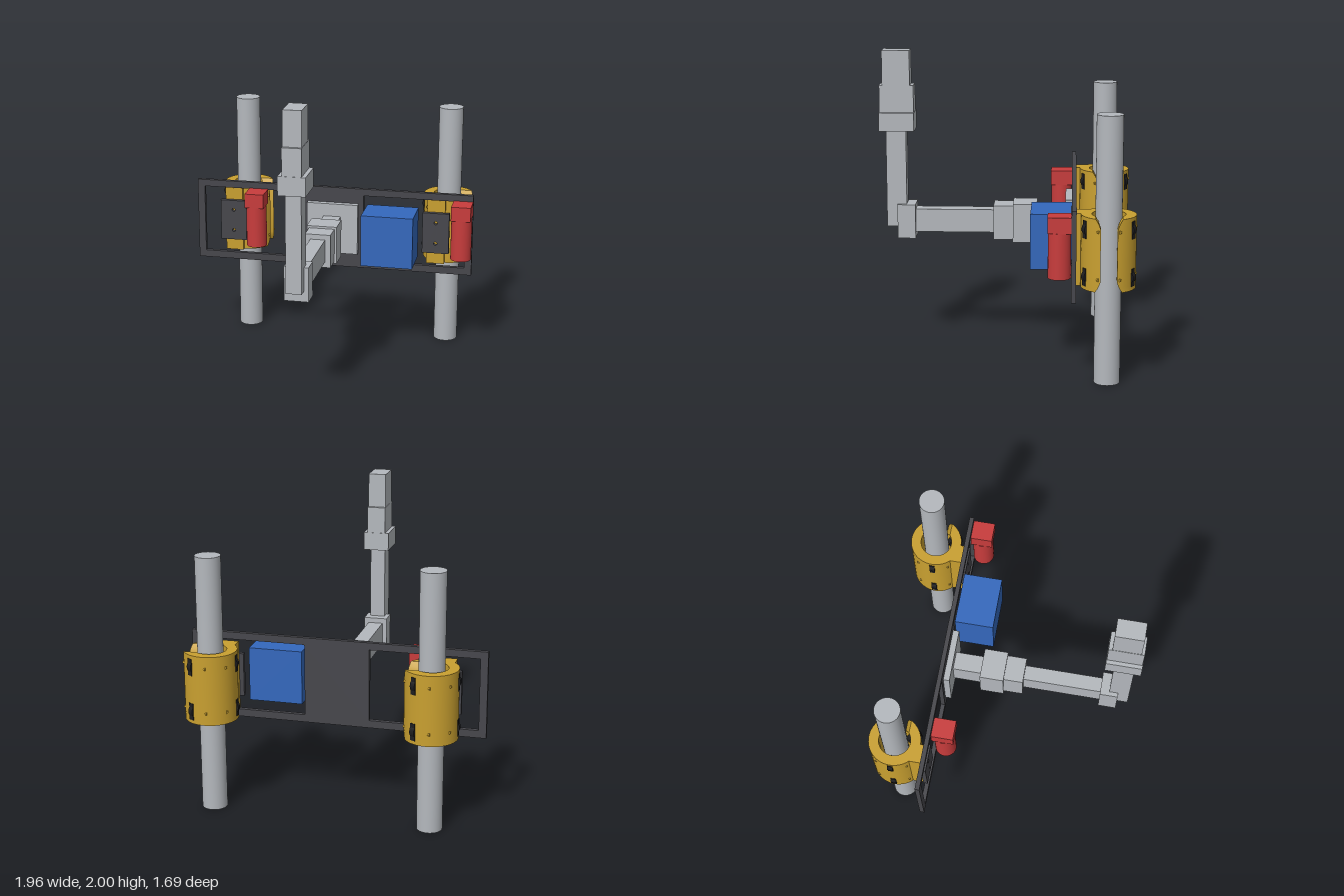
import * as THREE from 'three';
import { toCreasedNormals } from 'three/addons/utils/BufferGeometryUtils.js';

const material = (name, color) => {
  const m = new THREE.MeshStandardMaterial({ color });
  m.name = name;
  return m;
};

// Box given by its limits on each axis
function box(name, mat, [x0, x1], [y0, y1], [z0, z1]) {
  const mesh = new THREE.Mesh(new THREE.BoxGeometry(x1 - x0, y1 - y0, z1 - z0), mat);
  mesh.position.set((x0 + x1) / 2, (y0 + y1) / 2, (z0 + z1) / 2);
  mesh.name = name;
  return mesh;
}

function cylinder(name, mat, radius, height, x, y, z) {
  const mesh = new THREE.Mesh(new THREE.CylinderGeometry(radius, radius, height, 40), mat);
  mesh.position.set(x, y, z);
  mesh.name = name;
  return mesh;
}

const rectangle = (Type, x0, x1, y0, y1) => new Type([[x0, y0], [x1, y0], [x1, y1], [x0, y1]]
  .map(([x, y]) => new THREE.Vector2(x, y)));

const PLATE_BACK = -0.466, PLATE_FRONT = -0.436;
function plate(name, mat, shape) {
  const depth = PLATE_FRONT - PLATE_BACK;
  const mesh = new THREE.Mesh(
    new THREE.ExtrudeGeometry(shape, { depth, bevelEnabled: false, curveSegments: 16 }), mat);
  mesh.position.z = PLATE_BACK;
  mesh.name = name;
  return mesh;
}

// C-shaped sleeve, open toward +x, whose slot flares at both ends
function sleeveGeometry(outer, inner) {
  const levels = [[0.625, 0.083], [0.655, 0.064], [0.69, 0.051],
    [1.02, 0.051], [1.055, 0.064], [1.085, 0.083]];
  const n = 48, positions = [];
  const sections = levels.map(([y, gap]) => {
    const arc = (r) => Array.from({ length: n + 1 }, (_, i) => {
      const start = Math.asin(gap / r);
      const a = start + (2 * Math.PI - 2 * start) * i / n;
      return [r * Math.cos(a), y, r * Math.sin(a)];
    });
    return { out: arc(outer), inn: arc(inner) };
  });
  const quad = (a, b, c, d) => positions.push(...a, ...b, ...c, ...a, ...c, ...d);
  for (let k = 0; k < sections.length - 1; k++) {
    const low = [...sections[k].out, ...[...sections[k].inn].reverse()];
    const high = [...sections[k + 1].out, ...[...sections[k + 1].inn].reverse()];
    low.forEach((p, i) => {
      const j = (i + 1) % low.length;
      quad(p, high[i], high[j], low[j]);
    });
  }
  const bottom = sections[0], top = sections[sections.length - 1];
  for (let i = 0; i < n; i++) {
    quad(top.out[i], top.inn[i], top.inn[i + 1], top.out[i + 1]);
    quad(bottom.out[i], bottom.out[i + 1], bottom.inn[i + 1], bottom.inn[i]);
  }
  const geometry = new THREE.BufferGeometry();
  geometry.setAttribute('position', new THREE.Float32BufferAttribute(positions, 3));
  return toCreasedNormals(geometry, 0.4);
}

export function createModel() {
  const model = new THREE.Group();
  model.name = 'poleClimbingArm';
  const grey = material('light grey metal', 0xb4b8bd);
  const dark = material('dark grey frame', 0x47474c);
  const gold = material('gold clamp', 0xc9a030);
  const black = material('black rubber', 0x1e1e20);
  const red = material('red motor', 0xc83c3c);
  const blue = material('blue case', 0x3468bd);

  // Frame with two windows
  const frame = rectangle(THREE.Shape, -0.98, 0.977, 0.565, 1.143);
  frame.holes.push(
    rectangle(THREE.Path, -0.93, -0.215, 0.615, 1.095),
    rectangle(THREE.Path, 0.215, 0.927, 0.615, 1.095));
  model.add(plate('frame', dark, frame));

  // Pole, clamp, rollers and motor on each side
  const poleZ = -0.665;
  const sleeve = sleeveGeometry(0.172, 0.105);
  for (const [side, x] of [['right', -0.662], ['left', 0.782]]) {
    const unit = new THREE.Group();
    unit.name = side + 'ClimbingUnit';
    unit.add(cylinder('pole', grey, 0.083, 1.705, x, 0.8525, poleZ));

    const clamp = new THREE.Mesh(sleeve, gold);
    clamp.name = 'clamp';
    clamp.position.set(x, 0, poleZ);
    unit.add(clamp);
    unit.add(box('clampFoot', gold, [x - 0.124, x], [0.625, 1.085], [-0.55, PLATE_BACK]));

    // Mounting plate with two screw holes
    const px = x - 0.06;
    const mount = rectangle(THREE.Shape, px - 0.093, px + 0.093, 0.71, 1.0);
    for (const y of [0.78, 0.93]) {
      mount.holes.push(new THREE.Path().absarc(px, y, 0.012, 0, Math.PI * 2, true));
    }
    unit.add(plate('mountingPlate', dark, mount));

    // Three rollers in each of two rows, gripping the pole
    for (const y of [0.705, 1.005]) {
      for (const angle of [Math.PI / 3, Math.PI, -Math.PI / 3]) {
        const roller = new THREE.Group();
        roller.name = 'roller';
        roller.position.set(x, y, poleZ);
        roller.rotation.y = -angle;
        const wheel = cylinder('wheel', black, 0.05, 0.036, 0.134, 0, 0);
        const axle = cylinder('axle', gold, 0.01, 0.216, 0.134, 0, 0);
        wheel.rotation.x = axle.rotation.x = Math.PI / 2;
        roller.add(wheel, axle);
        roller.add(box('rollerSlot', black, [0.168, 0.175], [-0.056, 0.056], [-0.018, 0.018]));
        unit.add(roller);
      }
    }

    // Motor with a square gearbox on top
    const mx = x + 0.127;
    unit.add(box('gearbox', red, [mx - 0.067, mx + 0.067], [1.0, 1.1], [PLATE_FRONT, -0.29]));
    unit.add(cylinder('motor', red, 0.071, 0.29, mx, 0.855, -0.363));
    model.add(unit);
  }

  // Control case
  model.add(box('controlCase', blue, [0.243, 0.6], [0.675, 1.035], [PLATE_FRONT, -0.175]));

  // Arm: name, half width, y limits, z limits
  const arm = new THREE.Group();
  arm.name = 'arm';
  for (const [name, w, ys, zs] of [
    ['armBase', 0.18, [0.675, 1.035], [PLATE_FRONT, -0.395]],
    ['shoulderNeck', 0.061, [0.765, 0.945], [-0.395, -0.205]],
    ['shoulder', 0.103, [0.725, 0.985], [-0.205, -0.045]],
    ['upperJoint', 0.087, [0.74, 0.97], [-0.045, 0.085]],
    ['forwardLink', 0.05, [0.78, 0.935], [0.085, 0.607]],
    ['elbow', 0.08, [0.74, 0.97], [0.607, 0.727]],
    ['uprightLink', 0.051, [0.815, 1.467], [0.667, 0.8]],
    ['wrist', 0.088, [1.467, 1.59], [0.61, 0.843]],
    ['wristNeck', 0.062, [1.59, 1.77], [0.613, 0.84]],
    ['tool', 0.06, [1.77, 2.0], [0.637, 0.82]],
  ]) arm.add(box(name, grey, [-w, w], ys, zs));
  model.add(arm);

  return model;
}
